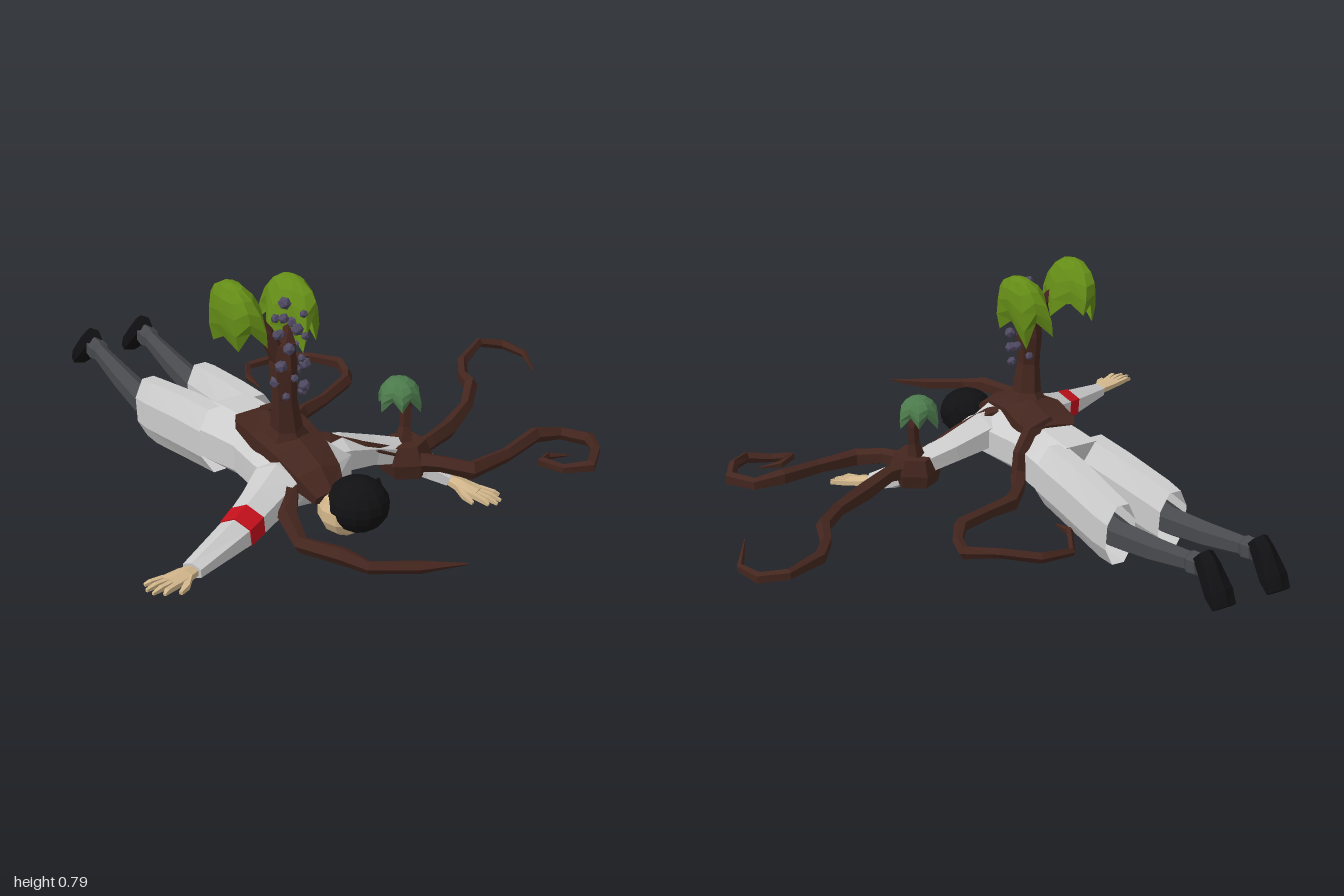
import * as THREE from 'three';

const mat = (color, side = THREE.FrontSide) => new THREE.MeshStandardMaterial({ color, side, flatShading: true });
const V = (a) => new THREE.Vector3(a[0], a[1], a[2]);

// Lofts an n-sided tube through sections [x, y, z, halfWidth, halfHeight]
function sweep(sections, n = 6, open = false) {
  const pts = sections.map(V);
  const last = pts.length - 1;
  const whole = pts[last].clone().sub(pts[0]).normalize();
  const ref = Math.abs(whole.y) > 0.75 ? new THREE.Vector3(0, 0, 1) : new THREE.Vector3(0, 1, 0);
  const grow = n % 2 ? 1 : 1 / Math.cos(Math.PI / n);
  const rings = pts.map((p, i) => {
    const a = pts[Math.max(i - 1, 0)], b = pts[Math.min(i + 1, last)];
    const before = p.clone().sub(a).normalize(), after = b.clone().sub(p).normalize();
    const t = before.add(after).normalize();
    const side = ref.clone().cross(t).normalize();
    const up = t.clone().cross(side);
    const w = sections[i][3] * grow, h = (sections[i][4] ?? sections[i][3]) * grow;
    return Array.from({ length: n }, (_, j) => {
      const k = ((j + 0.5) / n) * Math.PI * 2;
      return p.clone().addScaledVector(side, w * Math.cos(k)).addScaledVector(up, h * Math.sin(k));
    });
  });
  const tri = [];
  for (let j = 0; j < n; j++) {
    const k = (j + 1) % n;
    for (let i = 0; i < last; i++) {
      const a = rings[i][j], b = rings[i][k], c = rings[i + 1][k], d = rings[i + 1][j];
      tri.push(a, b, c, a, c, d);
    }
    if (!open) tri.push(pts[0], rings[0][k], rings[0][j], pts[last], rings[last][j], rings[last][k]);
  }
  const g = new THREE.BufferGeometry().setFromPoints(tri);
  g.computeVertexNormals();
  return g;
}

// Drooping canopy with a ragged hem
function canopy(seed, lobes) {
  const g = new THREE.SphereGeometry(1, lobes * 2, 5, 0, Math.PI * 2, 0, Math.PI * 0.62);
  const p = g.attributes.position;
  for (let i = 0; i < p.count; i++) {
    const x = p.getX(i), y = p.getY(i), z = p.getZ(i);
    const a = Math.atan2(z, x), drop = Math.max(0, 0.9 - y);
    const r = 1 + 0.13 * Math.cos(a * lobes + seed) * drop;
    p.setXYZ(i, x * r, y - 0.27 * drop * Math.cos(a * lobes + seed) - 0.12 * Math.sin(a * 2 + seed) * drop, z * r);
  }
  g.computeVertexNormals();
  return g;
}

export function createModel() {
  const model = new THREE.Group();
  const coat = mat(0xcccccc), coatOpen = mat(0xcccccc, THREE.DoubleSide);
  const cloth = mat(0x47494d), black = mat(0x111113), skin = mat(0xd3b78c), red = mat(0xc4101c);
  const bark = mat(0x44261e), leaf = mat(0x648c17, THREE.DoubleSide), paleLeaf = mat(0x4c7a4c, THREE.DoubleSide);
  const petal = mat(0x504a63);
  const add = (name, geo, m, parent = model) => {
    const mesh = new THREE.Mesh(geo, m);
    mesh.name = name;
    parent.add(mesh);
    return mesh;
  };

  // Coat body, lying face down with the head toward +z
  add('coatBody', sweep([
    [-0.26, 0.19, 0.43, 0.06, 0.05], [-0.26, 0.19, 0.37, 0.14, 0.085], [-0.26, 0.19, 0.27, 0.15, 0.1],
    [-0.265, 0.18, 0.12, 0.125, 0.1], [-0.265, 0.165, 0, 0.135, 0.108], [-0.268, 0.155, -0.09, 0.14, 0.108]], 8), coat);

  // Coat tails, trousers and shoes
  for (const s of [-1, 1]) {
    const x = (d) => -0.27 + s * d;
    add('coatTail', sweep([
      [x(0.075), 0.157, -0.05, 0.066, 0.107], [x(0.083), 0.14, -0.2, 0.063, 0.11],
      [x(0.098), 0.113, -0.4, 0.056, 0.108], [x(0.099), 0.107, -0.465, 0.052, 0.102]], 8, true), coatOpen);
    add('trouserLeg', sweep([
      [x(0.098), 0.13, -0.2, 0.04, 0.05], [x(0.1), 0.105, -0.46, 0.042, 0.042], [x(0.1), 0.13, -0.65, 0.034, 0.036],
      [x(0.1), 0.16, -0.82, 0.024, 0.028], [x(0.1), 0.163, -0.84, 0.033, 0.034], [x(0.1), 0.168, -0.875, 0.03, 0.032]], 6), cloth);
    add('shoe', sweep([
      [x(0.1), 0.205, -0.875, 0.026, 0.03], [x(0.1), 0.175, -0.905, 0.03, 0.036],
      [x(0.1), 0.115, -0.955, 0.04, 0.03], [x(0.1), 0.08, -0.982, 0.036, 0.018]], 6), black);
  }

  // Sleeves and armband
  add('rightSleeve', sweep([
    [-0.24, 0.2, 0.3, 0.06, 0.06], [-0.38, 0.195, 0.365, 0.075, 0.065], [-0.47, 0.178, 0.415, 0.06, 0.053],
    [-0.58, 0.158, 0.475, 0.05, 0.045], [-0.79, 0.145, 0.57, 0.031, 0.022]], 6), coat);
  add('armband', sweep([[-0.535, 0.166, 0.45, 0.055, 0.05], [-0.595, 0.157, 0.482, 0.051, 0.047]], 6), red);
  add('leftSleeve', sweep([
    [-0.26, 0.21, 0.3, 0.07, 0.06], [-0.13, 0.205, 0.3, 0.07, 0.058], [0, 0.17, 0.29, 0.053, 0.045],
    [0.12, 0.135, 0.3, 0.045, 0.04]], 6), coat);
  add('leftForearm', sweep([[0.1, 0.13, 0.29, 0.05, 0.04], [0.19, 0.085, 0.355, 0.046, 0.035], [0.235, 0.06, 0.41, 0.038, 0.025]], 6), coat);

  // Hands: a palm, four fingers and a thumb
  function hand(name, from, to, thumbSide) {
    const g = new THREE.Group();
    g.name = name;
    model.add(g);
    const a = V(from), f = V(to).sub(a);
    const s = new THREE.Vector3(f.z, 0, -f.x).normalize();
    const at = (u, v, w, h, y = 0) => {
      const p = a.clone().addScaledVector(f, u).addScaledVector(s, v);
      return [p.x, p.y + y, p.z, w, h];
    };
    add('palm', sweep([at(-0.05, 0, 0.018, 0.014), at(0.2, 0, 0.028, 0.015), at(0.55, 0, 0.034, 0.011)], 6), skin, g);
    for (let i = 0; i < 4; i++) {
      const v = (i - 1.5) * 0.017, reach = 1 - 0.1 * Math.abs(i - 1.5);
      add('finger', sweep([at(0.5, v, 0.008, 0.008), at(0.76, v * 1.3, 0.007, 0.007, 0.003), at(reach, v * 1.5, 0.004, 0.004)], 4), skin, g);
    }
    add('thumb', sweep([at(0.2, thumbSide * 0.015, 0.011, 0.01), at(0.42, thumbSide * 0.045, 0.009, 0.008, -0.004),
      at(0.6, thumbSide * 0.055, 0.005, 0.005, -0.007)], 4), skin, g);
  }
  hand('rightHand', [-0.785, 0.145, 0.57], [-0.96, 0.16, 0.625], 1);
  hand('leftHand', [0.225, 0.055, 0.415], [0.305, 0.022, 0.58], -1);

  // Head, neck and hair
  add('neck', sweep([[-0.26, 0.19, 0.38, 0.05, 0.045], [-0.25, 0.17, 0.5, 0.045, 0.045]], 8), skin);
  const face = add('face', new THREE.SphereGeometry(1, 10, 7), skin);
  face.scale.set(0.08, 0.078, 0.085);
  face.position.set(-0.25, 0.152, 0.525);
  const hair = add('hair', new THREE.SphereGeometry(1, 14, 10), black);
  hair.scale.set(0.095, 0.083, 0.098);
  hair.position.set(-0.223, 0.177, 0.556);
  for (let i = 0; i < 4; i++) {
    add('hairLock', sweep([[-0.24 + i * 0.035, 0.215 - 0.01 * i, 0.52, 0.025, 0.025], [-0.255 + i * 0.04, 0.2 - 0.02 * i, 0.435 + 0.006 * i, 0.004, 0.004]], 4), black);
  }

  // Bark growing over the back
  add('barkPlate', sweep([
    [-0.285, 0.19, 0.5, 0.05, 0.025], [-0.285, 0.225, 0.43, 0.075, 0.045], [-0.285, 0.26, 0.34, 0.09, 0.042],
    [-0.28, 0.275, 0.22, 0.1, 0.04], [-0.26, 0.27, 0.1, 0.1, 0.025], [-0.25, 0.265, 0.05, 0.08, 0.018]], 6), bark);
  add('waistRoot', sweep([
    [-0.26, 0.28, 0.09, 0.03], [-0.17, 0.27, 0.06, 0.026], [-0.13, 0.21, 0.05, 0.025], [-0.12, 0.11, 0.045, 0.027]], 5), bark);
  add('shoulderRoot', sweep([
    [-0.28, 0.27, 0.26, 0.04, 0.025], [-0.16, 0.26, 0.3, 0.03, 0.022], [-0.05, 0.215, 0.325, 0.022, 0.018],
    [0.07, 0.155, 0.32, 0.028, 0.024]], 5), bark);

  // Creeping vines: [x, z] path points, thickest at the root and tapering to a curled tip
  const vines = [
    [0.13, 0.032, [-0.13, 0.06], [-0.06, -0.05], [0.01, -0.115], [0.12, -0.15], [0.25, -0.21], [0.3, -0.28],
      [0.325, -0.36], [0.25, -0.44], [0.15, -0.515], [0.045, -0.52], [-0.012, -0.42], [-0.015, -0.34]],
    [0.12, 0.036, [0.14, 0.31], [0.24, 0.285], [0.36, 0.225], [0.5, 0.135], [0.6, 0.03], [0.635, -0.06],
      [0.7, -0.15], [0.84, -0.232], [0.915, -0.19], [0.932, -0.09], [0.85, 0.06]],
    [0.125, 0.034, [0.13, 0.36], [0.18, 0.43], [0.25, 0.495], [0.4, 0.48], [0.55, 0.438], [0.64, 0.455],
      [0.69, 0.54], [0.645, 0.62], [0.57, 0.685], [0.49, 0.645], [0.448, 0.59], [0.5, 0.56], [0.57, 0.585]],
    [0.165, 0.042, [-0.27, 0.35], [-0.36, 0.405], [-0.43, 0.5], [-0.475, 0.64], [-0.42, 0.77], [-0.38, 0.845], [-0.26, 0.92], [-0.15, 0.995]],
  ];
  vines.forEach(([y, r, ...path], v) => {
    const end = path.length - 1;
    add('vine', sweep(path.map(([x, z], i) => {
      const t = i / end, lift = v === 3 ? 0.07 * Math.max(0, 1 - 3 * t) : 0;
      const w = i === end ? 0.003 : r * (1 - 0.62 * t) * (i % 2 ? 0.88 : 1.05);
      return [x, y + lift + 0.008 * Math.sin(i * 2), z, w * 0.85, w];
    }), 5), bark);
  });

  // Tall tree on the back
  add('trunk', sweep([
    [-0.285, 0.26, 0.26, 0.085, 0.085], [-0.29, 0.33, 0.27, 0.042, 0.045], [-0.3, 0.43, 0.275, 0.032, 0.034],
    [-0.3, 0.53, 0.27, 0.036, 0.04], [-0.295, 0.6, 0.265, 0.03, 0.03]], 6), bark);
  add('rightBranch', sweep([[-0.3, 0.53, 0.27, 0.03], [-0.345, 0.64, 0.25, 0.024], [-0.405, 0.75, 0.19, 0.012]], 5), bark);
  add('leftBranch', sweep([[-0.295, 0.52, 0.27, 0.03], [-0.255, 0.62, 0.24, 0.024], [-0.215, 0.71, 0.18, 0.012]], 5), bark);
  [[-0.407, 0.68, 0.19, 1, 0.15], [-0.218, 0.65, 0.175, 2.6, -0.15]].forEach(([x, y, z, seed, tilt]) => {
    const c = add('canopy', canopy(seed, 5), leaf);
    c.scale.set(0.064, 0.12, 0.128);
    c.position.set(x, y, z);
    c.rotation.z = tilt;
  });

  // Blossoms spiralling round the trunk
  for (let i = 0; i < 24; i++) {
    const a = i * 2.4, y = 0.44 + i * 0.012;
    const b = add('blossom', new THREE.IcosahedronGeometry(0.017 + 0.004 * Math.sin(i * 5), 0), petal);
    b.position.set(-0.285 + 0.045 * Math.cos(a), y, 0.285 + 0.045 * Math.sin(a));
    b.rotation.set(i, i * 2, 0);
  }

  // Small stump and tree on the left arm
  add('armStump', sweep([[0.125, 0.075, 0.31, 0.065, 0.07], [0.125, 0.12, 0.31, 0.075, 0.078], [0.125, 0.175, 0.305, 0.058, 0.06]], 6), bark);
  add('smallTrunk', sweep([[0.125, 0.16, 0.3, 0.035], [0.135, 0.22, 0.295, 0.019], [0.14, 0.28, 0.29, 0.02], [0.125, 0.35, 0.285, 0.012]], 5), bark);
  const small = add('smallCanopy', canopy(0.6, 6), paleLeaf);
  small.scale.set(0.066, 0.06, 0.07);
  small.position.set(0.122, 0.325, 0.28);

  return model;
}
